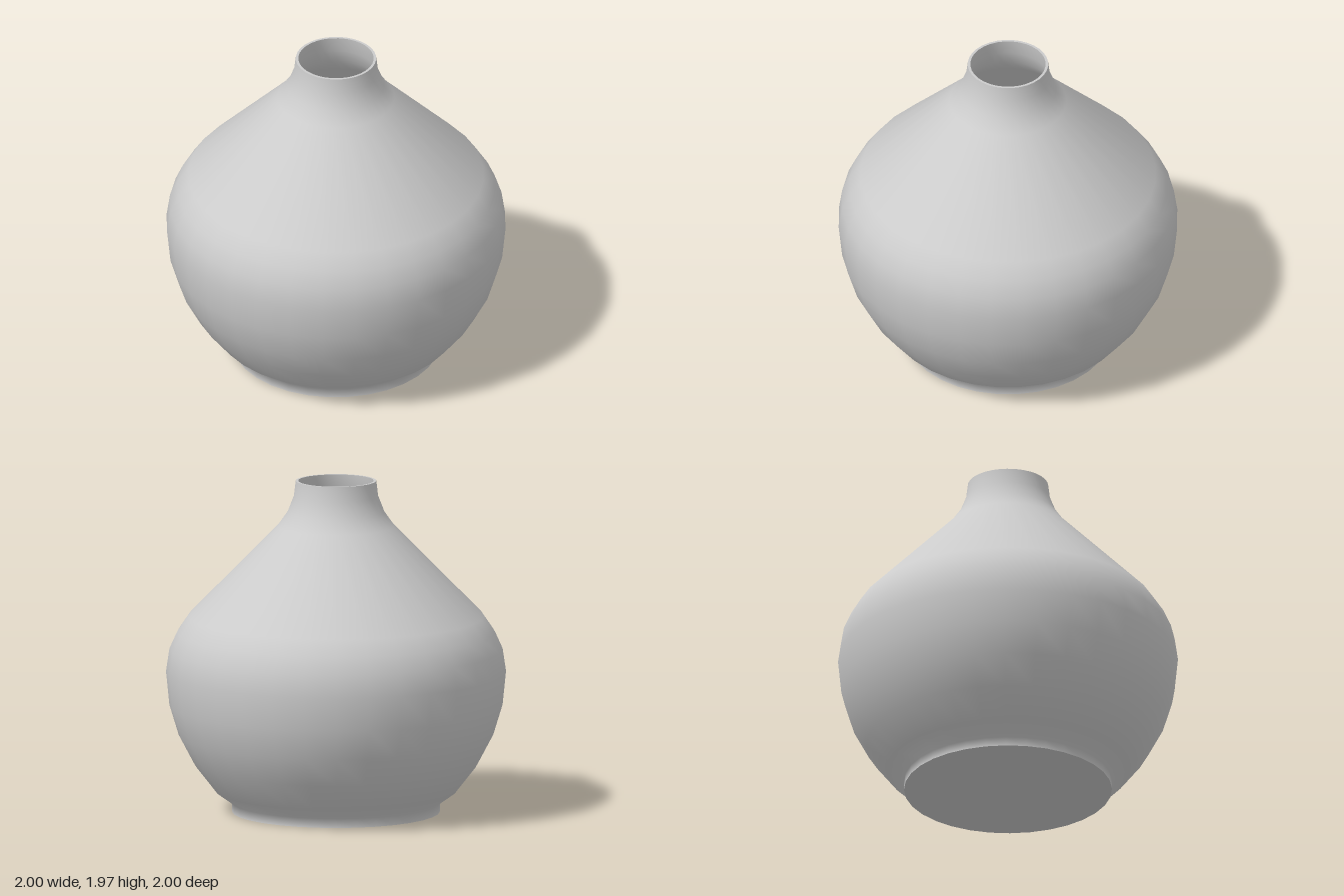
import * as THREE from 'three';

const SEGMENTS = 32;
const WALL = 0.015;

// Outer silhouette, foot to lip: [radius, height]
const PROFILE = [
  [0.612, 0], [0.612, 0.055], [0.71, 0.125], [0.835, 0.285], [0.925, 0.455],
  [0.98, 0.635], [1.0, 0.835], [0.98, 0.97], [0.935, 1.07], [0.87, 1.165],
  [0.345, 1.7], [0.285, 1.785], [0.248, 1.88], [0.237, 1.97],
].map(([r, y]) => new THREE.Vector2(r, y));

// Moves each profile point inwards, square to the wall
function offsetInwards(points, distance) {
  return points.map((p, i) => {
    const a = points[Math.max(i - 1, 0)];
    const b = points[Math.min(i + 1, points.length - 1)];
    const t = b.clone().sub(a).normalize();
    return new THREE.Vector2(p.x - t.y * distance, p.y + t.x * distance);
  });
}

export function createModel() {
  const group = new THREE.Group();
  group.name = 'vase';
  const material = new THREE.MeshStandardMaterial({ color: 0xcccccc });

  const add = (name, geometry) => {
    const mesh = new THREE.Mesh(geometry, material);
    mesh.name = name;
    group.add(mesh);
    return mesh;
  };
  const lathe = (points) => new THREE.LatheGeometry(points, SEGMENTS);

  // Inner wall starts on the floor and ends level with the lip
  const inner = offsetInwards(PROFILE, WALL);
  const lip = PROFILE[PROFILE.length - 1];
  inner[0].y = WALL;
  inner[inner.length - 1].set(lip.x - WALL, lip.y);

  add('outerWall', lathe(PROFILE));
  add('innerWall', lathe(inner.slice().reverse()));
  add('rim', lathe([lip, inner[inner.length - 1]]));

  // Flat discs close the bottom, outside and inside
  const base = add('base', new THREE.CircleGeometry(PROFILE[0].x, SEGMENTS));
  base.rotation.x = Math.PI / 2;
  const floor = add('innerFloor', new THREE.CircleGeometry(inner[0].x, SEGMENTS));
  floor.rotation.x = -Math.PI / 2;
  floor.position.y = WALL;

  return group;
}
